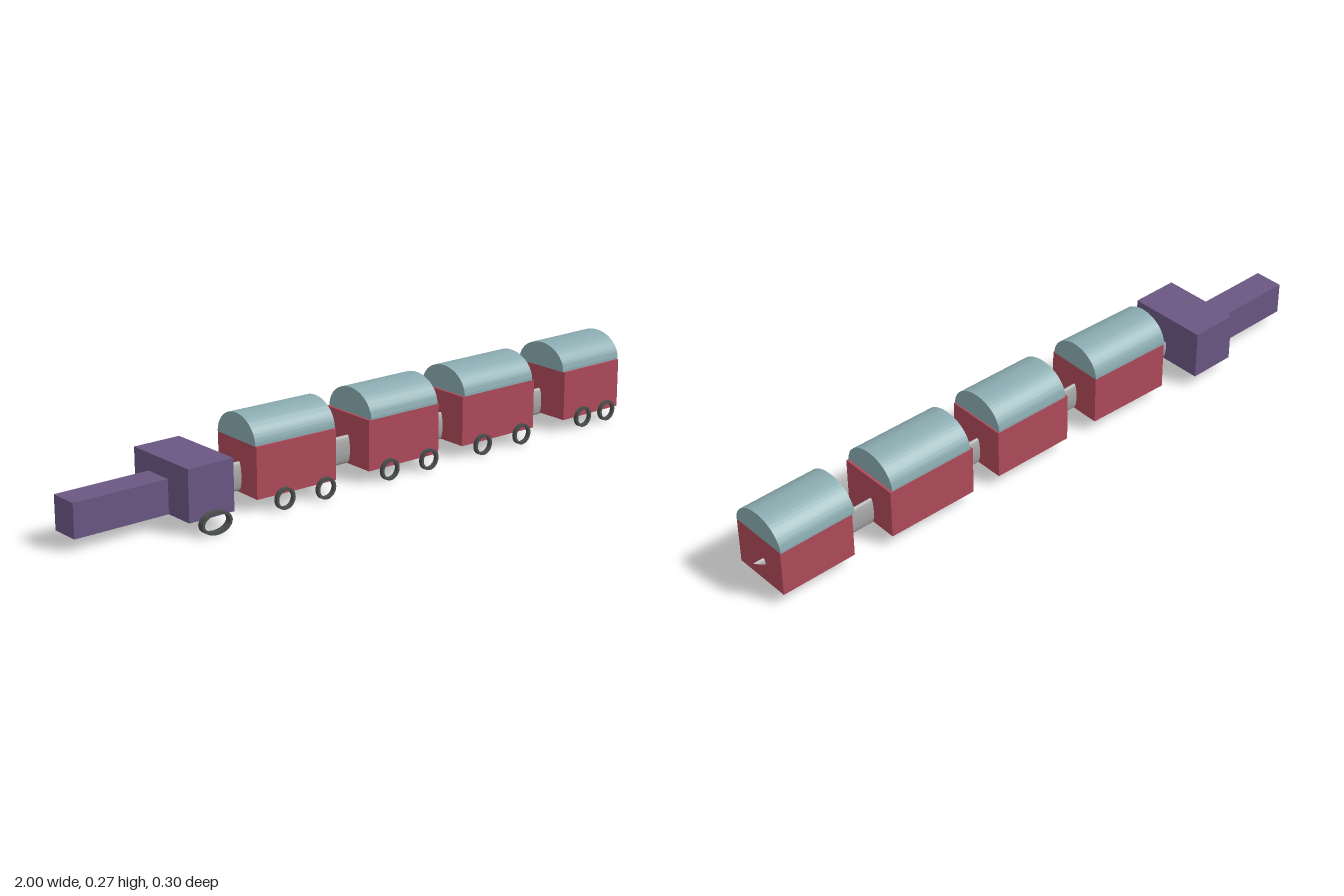
import * as THREE from 'three';
import { toCreasedNormals } from 'three/addons/utils/BufferGeometryUtils.js';

const paint = (color) => new THREE.MeshStandardMaterial({ color, side: THREE.DoubleSide });
const purple = paint(0x6b5783);
const red = paint(0xb04a5a);
const teal = paint(0x8aabb0);
const dark = paint(0x4c4f4f);
const grey = paint(0xa8a8a8);

const FLOOR = 0.037, EAVES = 0.19, ROOF_HEIGHT = 0.077;

function add(parent, name, geometry, material, x = 0, y = 0, z = 0) {
  const mesh = new THREE.Mesh(geometry, material);
  mesh.name = name;
  mesh.position.set(x, y, z);
  parent.add(mesh);
  return mesh;
}

// Box given by its extents on each axis
function block(parent, name, material, [x0, x1], [y0, y1], [z0, z1]) {
  return add(parent, name, new THREE.BoxGeometry(x1 - x0, y1 - y0, z1 - z0), material,
    (x0 + x1) / 2, (y0 + y1) / 2, (z0 + z1) / 2);
}

// Half-ellipse vault running along x
function roofGeometry(length, halfWidth) {
  const shape = new THREE.Shape();
  shape.absellipse(0, 0, halfWidth, ROOF_HEIGHT, 0, Math.PI, false, 0);
  shape.closePath();
  const geo = new THREE.ExtrudeGeometry(shape, { depth: length, bevelEnabled: false, curveSegments: 24 });
  geo.translate(0, 0, -length / 2);
  geo.rotateY(Math.PI / 2);
  return toCreasedNormals(geo, 0.5);
}

// Open hoop, standing in the xy plane
function hoopGeometry(rx, ry, rim, width) {
  const shape = new THREE.Shape();
  shape.absellipse(0, 0, rx, ry, 0, Math.PI * 2, false, 0);
  const hole = new THREE.Path();
  hole.absellipse(0, 0, rx - rim, ry - rim, 0, Math.PI * 2, true, 0);
  shape.holes.push(hole);
  const geo = new THREE.ExtrudeGeometry(shape, { depth: width, bevelEnabled: false, curveSegments: 20 });
  geo.translate(0, 0, -width / 2);
  return toCreasedNormals(geo, 0.5);
}

// Long flattened rod, sloping down to +x with slanted ends
function drawbarGeometry() {
  const geo = new THREE.CylinderGeometry(1, 1, 1, 32, 1);
  geo.rotateZ(-Math.PI / 2);
  const p = geo.attributes.position;
  for (let i = 0; i < p.count; i++) {
    const y = p.getY(i) * 0.043;
    const x = 0.17 + p.getX(i) * 1.49 + y * 2;
    p.setXYZ(i, x, 0.081 - 0.009 * x + y, -0.011 + p.getZ(i) * 0.011);
  }
  geo.computeVertexNormals();
  return toCreasedNormals(geo, 0.6);
}

// Each carriage: body and roof extents, slight yaw, wheels as [x, z]
const carriages = [
  { body: [-0.445, -0.17], bodyZ: -0.014, halfBody: 0.093, roof: [-0.445, -0.17], roofZ: -0.017, halfRoof: 0.091,
    yaw: -0.03, wheels: [[-0.375, 0.106], [-0.235, 0.113]] },
  { body: [-0.053, 0.212], bodyZ: -0.008, halfBody: 0.097, roof: [-0.045, 0.207], roofZ: -0.007, halfRoof: 0.096,
    yaw: -0.012, wheels: [[0.01, 0.104], [0.158, 0.108]] },
  { body: [0.31, 0.603], bodyZ: -0.007, halfBody: 0.097, roof: [0.318, 0.595], roofZ: -0.006, halfRoof: 0.096,
    yaw: -0.012, wheels: [[0.375, 0.108], [0.537, 0.108]] },
  { body: [0.728, 0.968], bodyZ: 0.004, halfBody: 0.095, roof: [0.728, 0.973], roofZ: -0.005, halfRoof: 0.097,
    yaw: 0, wheels: [[0.808, 0.104], [0.914, 0.104]] },
];

export function createModel() {
  const train = new THREE.Group();
  train.name = 'train';

  // Engine
  const engine = new THREE.Group();
  engine.name = 'engine';
  train.add(engine);
  block(engine, 'engineNose', purple, [-1, -0.7], [FLOOR, 0.138], [-0.08, 0.012]);
  block(engine, 'engineCab', purple, [-0.7, -0.55], [FLOOR, EAVES], [-0.147, 0.107]);
  add(engine, 'engineWheel', hoopGeometry(0.05, 0.033, 0.008, 0.02), dark, -0.636, 0.034, 0.138);

  // Drawbar through the whole train
  add(train, 'drawbar', drawbarGeometry(), grey);

  // Carriages
  const wheelGeo = hoopGeometry(0.033, 0.032, 0.008, 0.012);
  carriages.forEach((c, i) => {
    const carriage = new THREE.Group();
    carriage.name = `carriage${i + 1}`;
    train.add(carriage);
    const body = block(carriage, 'carriageBody', red, c.body, [FLOOR, EAVES],
      [c.bodyZ - c.halfBody, c.bodyZ + c.halfBody]);
    const roof = add(carriage, 'carriageRoof', roofGeometry(c.roof[1] - c.roof[0], c.halfRoof), teal,
      (c.roof[0] + c.roof[1]) / 2, EAVES, c.roofZ);
    body.rotation.y = roof.rotation.y = c.yaw;
    for (const [x, z] of c.wheels) add(carriage, 'carriageWheel', wheelGeo, dark, x, 0.034, z);
  });

  return train;
}
